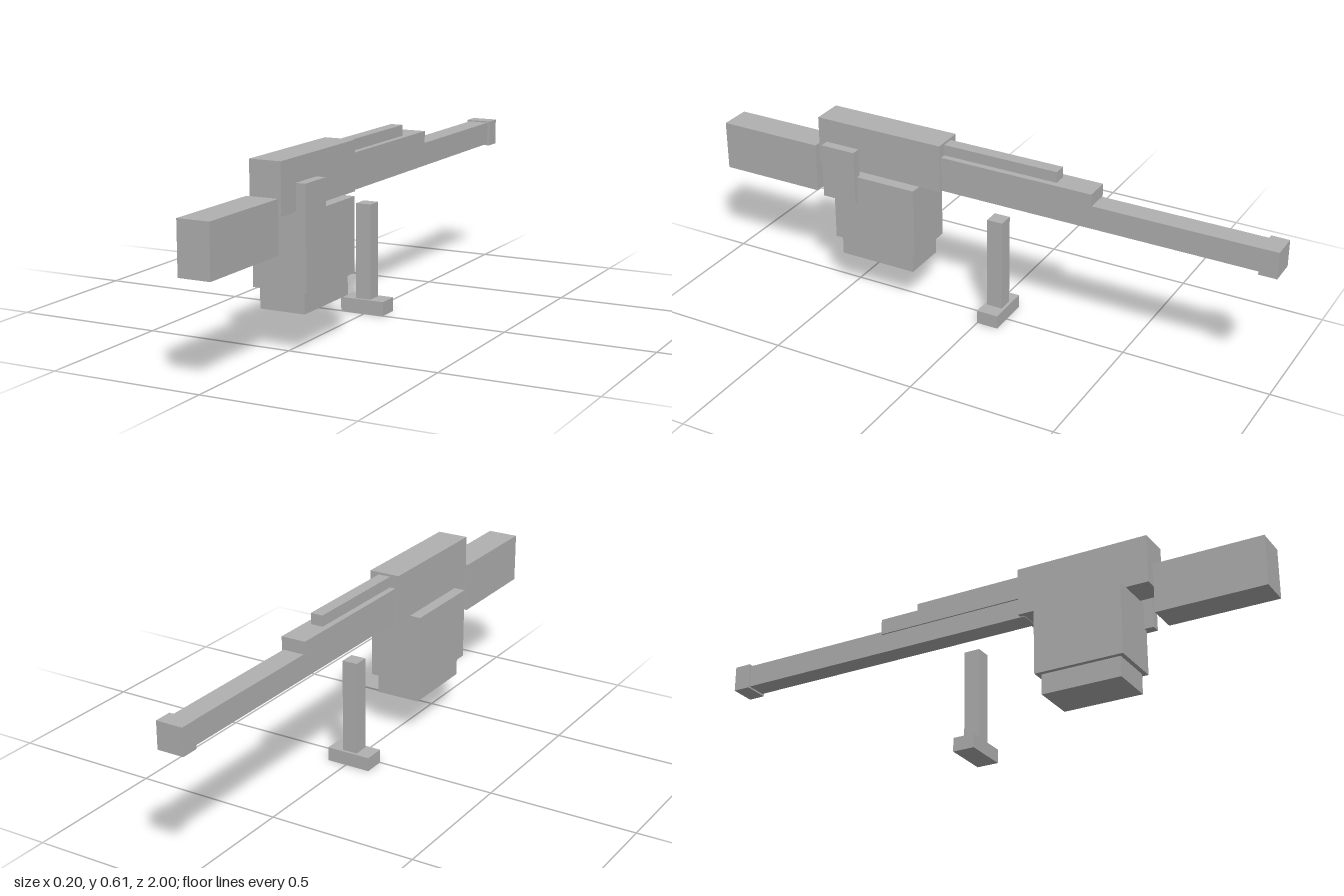
import * as THREE from 'three';

const CENTRE_X = -0.009; // shared centre line of the parts

export function createModel() {
  const group = new THREE.Group();
  const grey = new THREE.MeshStandardMaterial({ color: 0xb0b0b0 });
  grey.name = 'grey';

  // Box given by its width and its lower and upper limits in y and z
  function block(name, width, y0, y1, z0, z1, x = CENTRE_X) {
    const mesh = new THREE.Mesh(new THREE.BoxGeometry(width, y1 - y0, z1 - z0), grey);
    mesh.name = name;
    mesh.position.set(x, (y0 + y1) / 2, (z0 + z1) / 2);
    group.add(mesh);
  }

  // Body
  block('stock', 0.107, 0.328, 0.497, 0.63, 1);
  block('receiver', 0.107, 0.44, 0.605, 0.15, 0.613);

  // Box hung below the body, with its narrower base and side plate
  block('magazine', 0.186, 0.196, 0.441, 0.228, 0.535);
  block('magazineBase', 0.155, 0.127, 0.196, 0.245, 0.52);
  block('sidePlate', 0.032, 0.35, 0.536, 0.443, 0.567, 0.084);

  // Barrel and the pieces along it
  block('barrel', 0.074, 0.438, 0.517, -0.945, 0.165);
  block('muzzle', 0.09, 0.432, 0.522, -1, -0.94);
  block('barrelCover', 0.085, 0.505, 0.56, -0.385, 0.15);
  block('topRail', 0.043, 0.56, 0.597, -0.255, 0.15);

  // Front support
  block('supportPost', 0.053, 0.047, 0.367, -0.065, -0.01);
  block('supportFoot', 0.155, 0, 0.047, -0.075, 0);

  return group;
}
